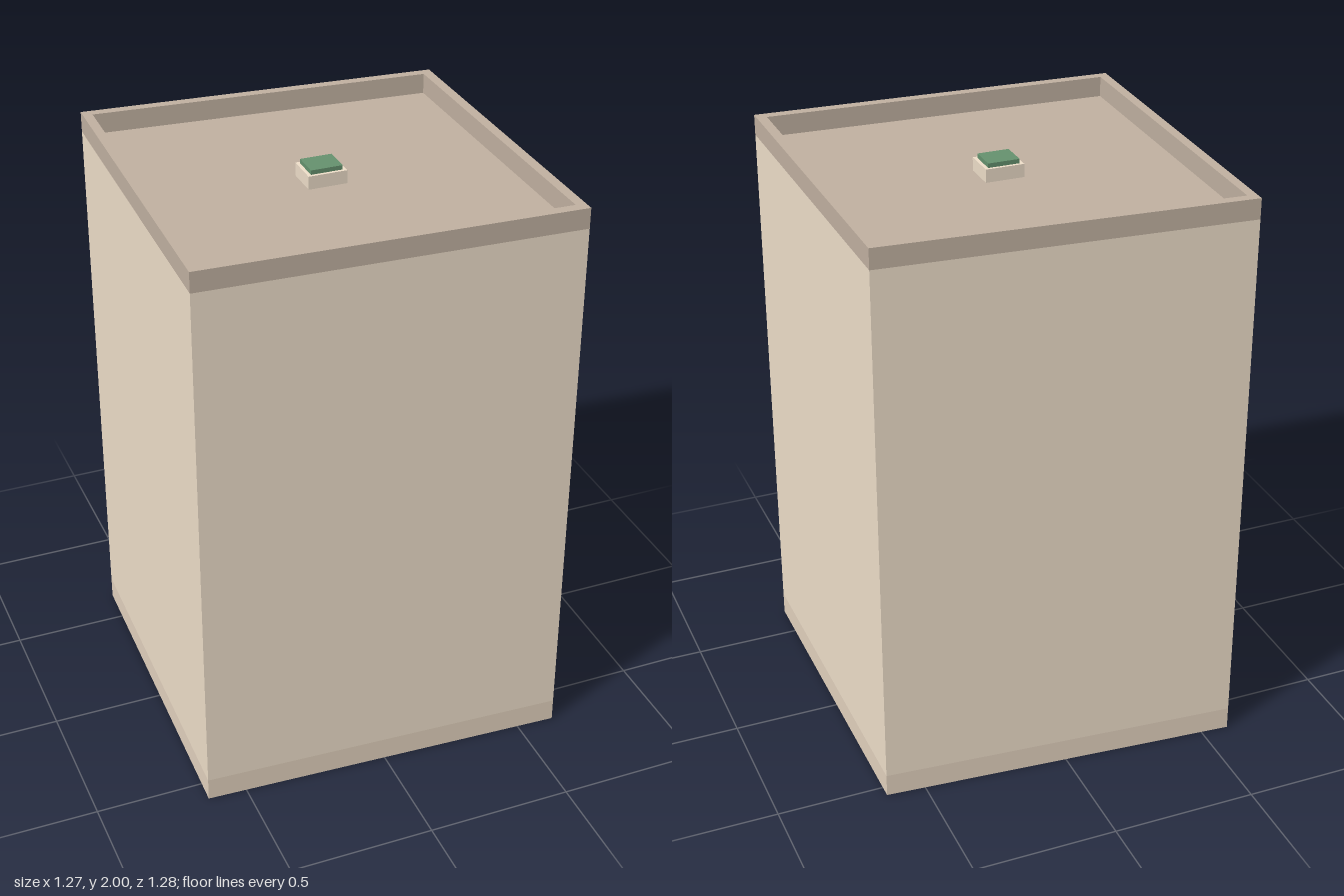
import * as THREE from 'three';

const mat = (color) => new THREE.MeshStandardMaterial({ color, flatShading: true });
const M = {
  wall: mat(0xf0e0cb), plinth: mat(0xe4d3bf), trim: mat(0xc2b2a2),
  frame: mat(0x9f958a), glass: mat(0x4a5252), rail: mat(0xa8adaa), green: mat(0x66936f),
};

// Skewed footprint as [x, z] corners: front right, front left, back left, back right
const OUTER = [[0.633, 0.639], [-0.633, 0.579], [-0.597, -0.639], [0.633, -0.543]];
const INNER = [[0.599, 0.603], [-0.599, 0.547], [-0.566, -0.604], [0.599, -0.513]];
const FLOORS = 6, COLUMNS = 4, PLINTH = 0.08, FLOOR_HEIGHT = 0.308, ROOF = 1.93;

function box(parent, name, size, pos, material) {
  const mesh = new THREE.Mesh(new THREE.BoxGeometry(...size), material);
  mesh.name = name;
  mesh.position.set(...pos);
  parent.add(mesh);
}

// Upright prism between two heights, optionally hollow; the hole winds the other way
function prism(parent, name, outline, hole, y0, y1, material) {
  const points = (list) => list.map(([x, z]) => new THREE.Vector2(x, -z));
  const shape = new THREE.Shape(points(outline).reverse());
  if (hole) shape.holes.push(new THREE.Path(points(hole)));
  const geo = new THREE.ExtrudeGeometry(shape, { depth: y1 - y0, bevelEnabled: false });
  geo.rotateX(-Math.PI / 2);
  const mesh = new THREE.Mesh(geo, material);
  mesh.name = name;
  mesh.position.y = y0;
  parent.add(mesh);
}

// Framed opening centred on its glass
function makeOpening(name, x, y, w, h) {
  const g = new THREE.Group();
  g.name = name;
  g.position.set(x, y, 0);
  const t = 0.014;
  box(g, 'glass', [w, h, 0.006], [0, 0, 0.003], M.glass);
  for (const s of [-1, 1]) {
    box(g, 'frameSide', [t, h, 0.016], [s * (w - t) / 2, 0, 0.008], M.frame);
    box(g, 'frameEdge', [w, t, 0.016], [0, s * (h - t) / 2, 0.008], M.frame);
  }
  return g;
}

function makeWindow(x, y) {
  const g = makeOpening('window', x, y, 0.13, 0.165);
  box(g, 'sill', [0.15, 0.012, 0.03], [0, -0.0885, 0.015], M.trim);
  return g;
}

// Slab with thin railing panels on three sides
function makeBalcony(x, y) {
  const g = new THREE.Group();
  g.name = 'balcony';
  g.position.set(x, y, 0);
  box(g, 'slab', [0.19, 0.015, 0.08], [0, 0, 0.04], M.trim);
  box(g, 'frontRail', [0.19, 0.06, 0.006], [0, 0.0375, 0.077], M.rail);
  for (const s of [-1, 1]) box(g, 'sideRail', [0.006, 0.06, 0.074], [s * 0.092, 0.0375, 0.037], M.rail);
  return g;
}

// Canopy held by two posts
function makePorch(x) {
  const g = new THREE.Group();
  g.name = 'porch';
  g.position.x = x;
  box(g, 'canopy', [0.62, 0.02, 0.12], [0, 0.305, 0.06], M.trim);
  for (const s of [-1, 1]) box(g, 'post', [0.022, 0.295, 0.022], [s * 0.135, 0.1475, 0.02], M.trim);
  return g;
}

// Fittings of one wall, facing the hollow inside
function makeFacade(i) {
  const [ax, az] = INNER[i], [bx, bz] = INNER[(i + 1) % 4];
  const length = Math.hypot(bx - ax, bz - az);
  const g = new THREE.Group();
  g.name = ['frontFacade', 'leftFacade', 'backFacade', 'rightFacade'][i];
  g.position.set(ax, 0, az);
  g.rotation.y = Math.atan2(az - bz, bx - ax);
  for (let f = 0; f < FLOORS; f++) {
    for (let c = 0; c < COLUMNS; c++) {
      const x = length * (c + 0.5) / COLUMNS;
      const y = PLINTH + FLOOR_HEIGHT * f + 0.105;
      const isDoor = i === 0 && f === 0 && c === 2;
      g.add(isDoor ? makeOpening('door', x, 0.155, 0.14, 0.25) : makeWindow(x, y));
      const middle = c === 1 || c === 2;
      if (f > 0 && middle === (f % 2 === 1)) g.add(makeBalcony(x, y - 0.11));
    }
  }
  if (i === 0) g.add(makePorch(length * 0.51));
  return g;
}

export function createModel() {
  const model = new THREE.Group();
  model.name = 'apartmentBlock';

  // Hollow shell, open underneath
  prism(model, 'plinth', OUTER, INNER, 0, PLINTH, M.plinth);
  prism(model, 'walls', OUTER, INNER, PLINTH, ROOF, M.wall);
  prism(model, 'parapet', OUTER, INNER, ROOF, 2, M.trim);
  prism(model, 'roof', INNER, null, ROOF - 0.02, ROOF, M.trim);

  for (let i = 0; i < 4; i++) model.add(makeFacade(i));

  // Roof hatch
  const hatch = new THREE.Group();
  hatch.name = 'roofHatch';
  hatch.position.set(0.006, ROOF, 0.007);
  box(hatch, 'hatchBase', [0.132, 0.045, 0.115], [0, 0.0225, 0], M.wall);
  box(hatch, 'hatchCover', [0.108, 0.015, 0.094], [0, 0.0525, 0], M.green);
  model.add(hatch);

  return model;
}
